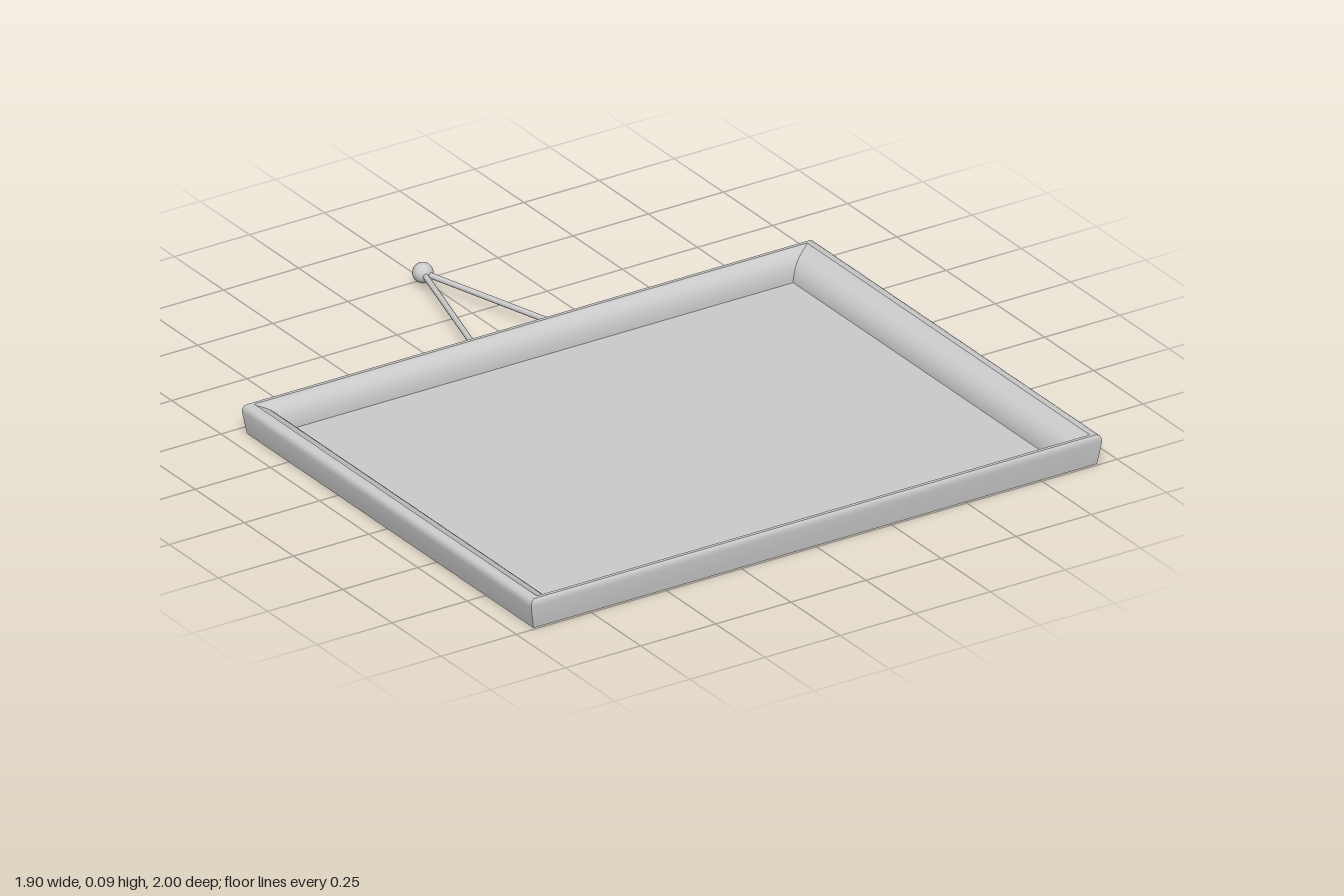
import * as THREE from 'three';
import { toCreasedNormals } from 'three/addons/utils/BufferGeometryUtils.js';

const HALF_X = 0.95, HALF_Z = 0.735, CENTRE_Z = 0.265;
const Z_RATIO = 0.58; // mouldings are narrower on the front and back rails

export function createModel() {
  const group = new THREE.Group();
  const material = new THREE.MeshStandardMaterial({ color: 0xcccccc, side: THREE.DoubleSide });
  const add = (name, geometry) => {
    const mesh = new THREE.Mesh(geometry, material);
    mesh.name = name;
    group.add(mesh);
    return mesh;
  };

  // Moulding profile: [inset from the outermost edge, height]
  const profile = [
    [0.012, 0], [0, 0.068], [0.001, 0.079], [0.005, 0.087], [0.012, 0.091],
    [0.03, 0.091], [0.035, 0.086], [0.052, 0.08], [0.068, 0.072], [0.082, 0.061],
    [0.093, 0.047], [0.1, 0.031], [0.104, 0.016], [0.105, 0.004],
  ];
  const corners = [[-1, 1], [1, 1], [1, -1], [-1, -1]];
  const names = ['frontRail', 'leftRail', 'backRail', 'rightRail'];
  const point = ([sx, sz], [d, y]) =>
    [sx * (HALF_X - d), y, CENTRE_Z + sz * (HALF_Z - d * Z_RATIO)];

  // Four mitred rails, each the profile stretched between two corners
  names.forEach((name, i) => {
    const a = corners[i], b = corners[(i + 1) % 4];
    const positions = [];
    for (let j = 0; j < profile.length - 1; j++) {
      const p = point(a, profile[j]), q = point(b, profile[j]);
      const r = point(b, profile[j + 1]), s = point(a, profile[j + 1]);
      positions.push(...p, ...q, ...r, ...p, ...r, ...s);
    }
    const geometry = new THREE.BufferGeometry();
    geometry.setAttribute('position', new THREE.Float32BufferAttribute(positions, 3));
    add(name, toCreasedNormals(geometry, 0.7));
  });

  // Flat panel that closes the bottom and shows inside the frame
  add('panel', new THREE.BoxGeometry(1.876, 0.006, 1.456)).position.set(0, 0.003, CENTRE_Z);

  // Hanging wire: two straight strands meeting at a ball
  const apex = new THREE.Vector3(-0.02, 0.04, -0.97);
  for (const side of [-1, 1]) {
    const foot = new THREE.Vector3(apex.x + side * 0.147, 0.04, -0.455);
    const strand = new THREE.LineCurve3(foot, apex);
    add(side < 0 ? 'rightStrand' : 'leftStrand', new THREE.TubeGeometry(strand, 1, 0.0085, 12));
  }
  add('hangingBall', new THREE.SphereGeometry(0.03, 24, 16)).position.copy(apex);

  return group;
}
